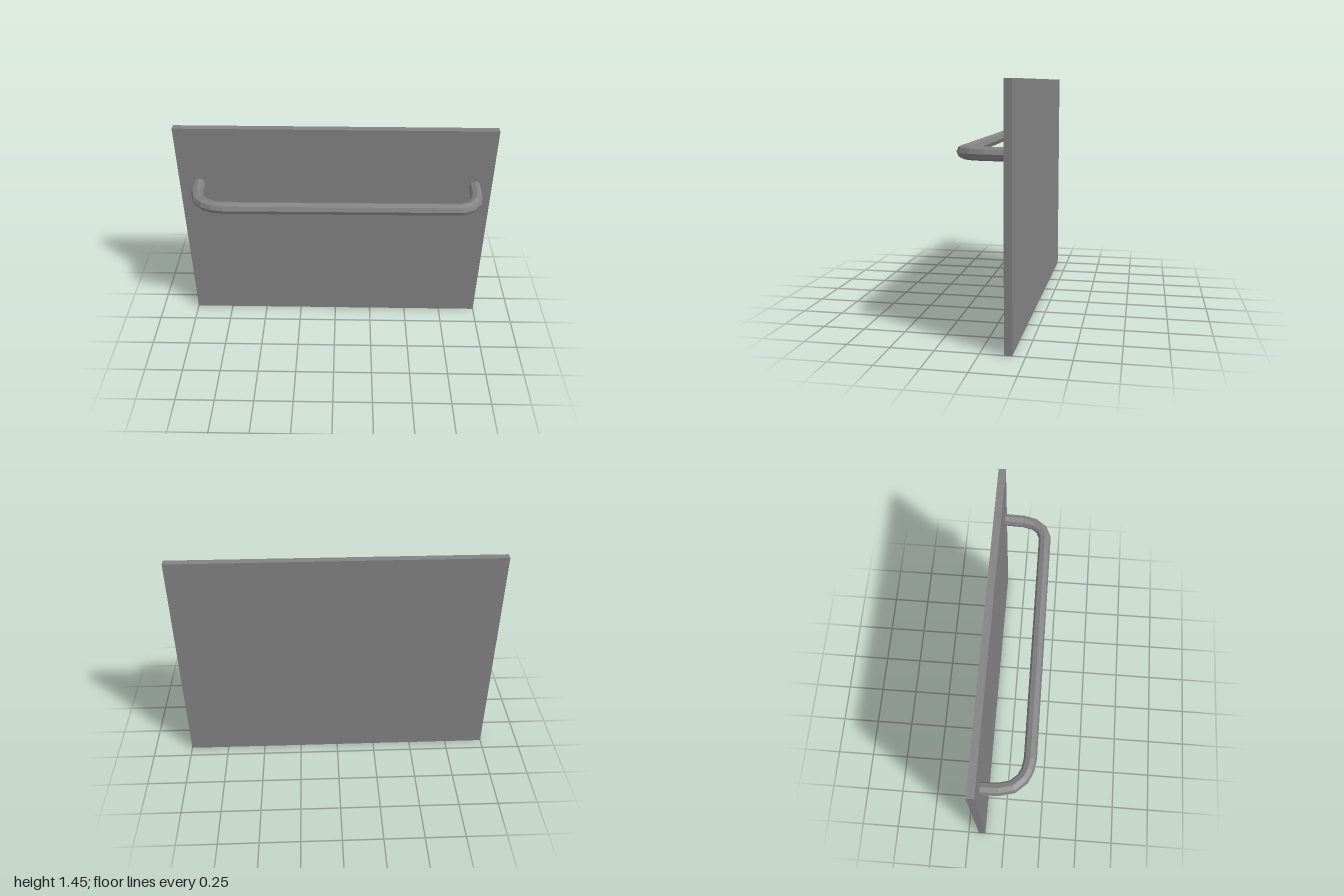
import * as THREE from 'three';

const SIDES = 8;

// Mitred tube along a flat path of [x, z] points at height y
function mitredTube(path, y, radius) {
  const pts = path.map(([x, z]) => new THREE.Vector2(x, z));
  const positions = [];
  const index = [];
  pts.forEach((p, i) => {
    const before = pts[Math.max(i - 1, 0)];
    const after = pts[Math.min(i + 1, pts.length - 1)];
    const a = (i ? p.clone().sub(before) : after.clone().sub(p)).normalize();
    const b = (i < pts.length - 1 ? after.clone().sub(p) : a.clone()).normalize();
    const t = a.clone().add(b).normalize();
    const wide = radius / t.dot(a); // keeps the thickness constant through bends
    for (let j = 0; j < SIDES; j++) {
      const angle = (j / SIDES) * Math.PI * 2;
      const off = Math.cos(angle) * wide;
      positions.push(p.x + t.y * off, y + Math.sin(angle) * radius, p.y - t.x * off);
    }
  });
  for (let i = 0; i < pts.length - 1; i++) {
    for (let j = 0; j < SIDES; j++) {
      const k = (j + 1) % SIDES;
      const [a, b, c, d] = [i * SIDES + j, i * SIDES + k, (i + 1) * SIDES + k, (i + 1) * SIDES + j];
      index.push(a, b, c, a, c, d);
    }
  }
  const geometry = new THREE.BufferGeometry();
  geometry.setAttribute('position', new THREE.Float32BufferAttribute(positions, 3));
  geometry.setIndex(index);
  geometry.computeVertexNormals();
  return geometry;
}

export function createModel() {
  const model = new THREE.Group();
  model.name = 'panelWithHandle';
  const material = new THREE.MeshStandardMaterial({ color: 0x828282, flatShading: true });

  // Flat upright panel
  const panel = new THREE.Mesh(new THREE.BoxGeometry(2, 1.45, 0.045), material);
  panel.name = 'panel';
  panel.position.set(0, 0.725, -0.156);
  model.add(panel);

  // Bent bar handle; the two corners differ slightly
  const path = [
    [-0.873, -0.14], [-0.871, -0.03], [-0.85, 0.05], [-0.8, 0.105], [-0.745, 0.13], [-0.68, 0.14],
    [0.775, 0.132], [0.833, 0.107], [0.869, 0.058], [0.886, -0.01], [0.89, -0.14],
  ];
  const handle = new THREE.Mesh(mitredTube(path, 1.057, 0.038), material);
  handle.name = 'handle';
  model.add(handle);

  return model;
}
